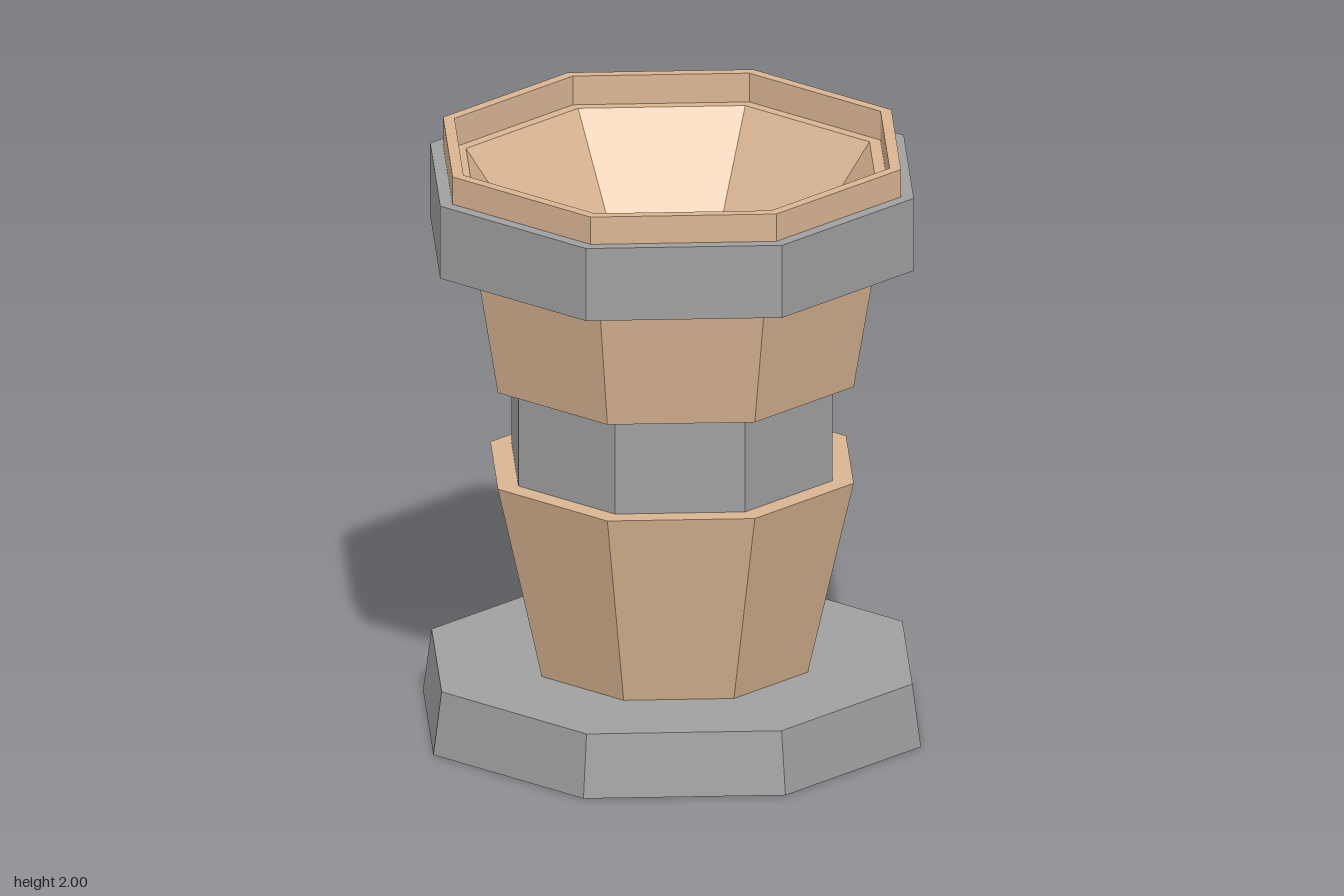
import * as THREE from 'three';

const SIDES = 8;
const wood = new THREE.MeshStandardMaterial({ color: 0xd9b592, flatShading: true });
const metal = new THREE.MeshStandardMaterial({ color: 0xa0a0a0, flatShading: true });

// Octagonal solid turned from a [radius, height] profile, corners on the axes
function turned(name, material, profile) {
  const points = profile.map(([r, y]) => new THREE.Vector2(r, y));
  const mesh = new THREE.Mesh(new THREE.LatheGeometry(points, SIDES), material);
  mesh.name = name;
  return mesh;
}

// Capped straight or tapered section
const section = (name, material, r0, y0, r1, y1) =>
  turned(name, material, [[0, y0], [r0, y0], [r1, y1], [0, y1]]);

export function createModel() {
  const group = new THREE.Group();
  group.name = 'octagonalPot';
  group.add(
    // Foot: metal skirt over a wooden underside
    turned('footUnderside', wood, [[0, 0], [0.87, 0]]),
    turned('foot', metal, [[0.87, 0], [0.84, 0.215], [0, 0.215]]),
    // Stem
    section('lowerStem', wood, 0.475, 0.215, 0.635, 0.89),
    section('neckBand', metal, 0.56, 0.89, 0.56, 1.225),
    // Bowl: flared outside, stepped lip, hollow funnel with a flat floor
    turned('bowl', wood, [
      [0, 1.225], [0.635, 1.225], [0.71, 1.655], [0.8, 1.655], [0.8, 2],
      [0.76, 2], [0.76, 1.9], [0.72, 1.9], [0.29, 1.3], [0, 1.3],
    ]),
    // Metal collar around the bowl
    turned('collar', metal, [[0.71, 1.653], [0.845, 1.653], [0.845, 1.905], [0.8, 1.905]]),
  );
  return group;
}
